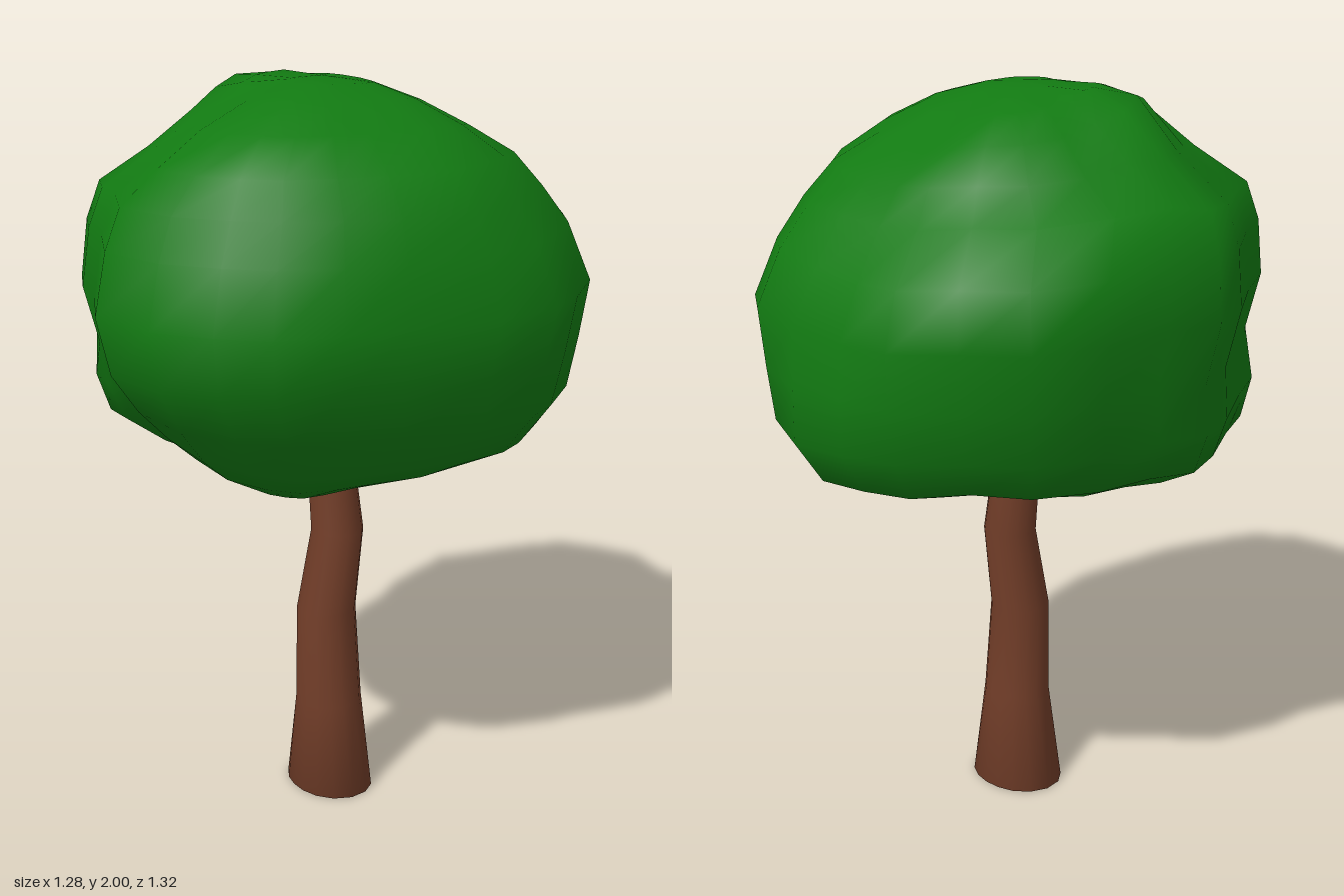
import * as THREE from 'three';

// Closed surface through rings of points; capped at both ends with a fan
function loft(rings, bottom, top) {
  const n = rings[0].length;
  const points = [...rings.flat(), bottom, top];
  const low = points.length - 2, high = points.length - 1;
  const last = (rings.length - 1) * n;
  const index = [];
  for (let j = 0; j < n; j++) {
    const k = (j + 1) % n;
    index.push(low, j, k, last + j, high, last + k);
    for (let i = 0; i < last; i += n) {
      index.push(i + j, i + n + j, i + k, i + k, i + n + j, i + n + k);
    }
  }
  const geometry = new THREE.BufferGeometry().setFromPoints(points);
  geometry.setIndex(index);
  geometry.computeVertexNormals();
  return geometry;
}

// Crown outline seen from above: x, z
const PLAN = [
  [-0.12, -0.66], [0.05, -0.66], [0.22, -0.66], [0.35, -0.57], [0.48, -0.47], [0.6, -0.32],
  [0.64, -0.2], [0.645, 0], [0.62, 0.12], [0.52, 0.29], [0.34, 0.44], [0.22, 0.55],
  [0.08, 0.64], [-0.06, 0.66], [-0.22, 0.66], [-0.4, 0.58], [-0.5, 0.39], [-0.58, 0.3],
  [-0.645, 0.18], [-0.61, 0], [-0.59, -0.2], [-0.54, -0.35], [-0.42, -0.42], [-0.29, -0.55],
];

// Crown levels: y, reach to -x, +x, -z, +z
const LEVELS = [
  [0.975, 0.2, 0.2, 0.25, 0.32],
  [1.02, 0.48, 0.37, 0.4, 0.4],
  [1.08, 0.58, 0.51, 0.54, 0.47],
  [1.19, 0.615, 0.59, 0.6, 0.55],
  [1.33, 0.605, 0.62, 0.645, 0.65],
  [1.48, 0.64, 0.645, 0.66, 0.665],
  [1.63, 0.625, 0.58, 0.66, 0.61],
  [1.73, 0.59, 0.52, 0.49, 0.56],
  [1.82, 0.45, 0.45, 0.44, 0.525],
  [1.9, 0.34, 0.34, 0.37, 0.41],
  [1.96, 0.22, 0.22, 0.26, 0.27],
  [1.99, 0.1, 0.1, 0.13, 0.14],
];

// Lumps and hollows of the crown: centre, push, radius
const LUMPS = [
  [[-0.3, 1.92, -0.09], [0, 0.085, 0], 0.16],
  [[-0.58, 1.1, 0.1], [-0.03, 0.01, 0], 0.15],
  [[0.4, 1.13, -0.4], [0.05, -0.01, -0.05], 0.22],
  [[0.32, 1.63, -0.55], [-0.015, -0.03, 0.045], 0.2],
  [[-0.4, 1.05, 0.4], [0.045, 0.04, -0.045], 0.22],
  [[0.25, 1.93, -0.25], [-0.02, -0.04, 0.02], 0.2],
  [[0.35, 1.76, 0.35], [0.04, 0, 0.04], 0.2],
  [[-0.36, 1.75, -0.36], [-0.03, 0.03, -0.03], 0.14],
  [[0, 1.02, -0.45], [0, 0.03, 0], 0.15],
].map(([centre, push, radius]) => [new THREE.Vector3(...centre), new THREE.Vector3(...push), radius]);

function crownGeometry() {
  const rings = LEVELS.map(([y, left, right, back, front]) =>
    PLAN.map(([x, z]) => {
      const p = new THREE.Vector3(
        x * (x < 0 ? left : right) / 0.645,
        y,
        z * (z < 0 ? back : front) / 0.66,
      );
      const start = p.clone();
      for (const [centre, push, radius] of LUMPS) {
        const d = start.distanceTo(centre) / radius;
        p.addScaledVector(push, Math.exp(-d * d));
      }
      p.y = Math.min(p.y, 1.995);
      return p;
    }));
  return loft(rings, new THREE.Vector3(0, 0.99, 0), new THREE.Vector3(-0.03, 2, 0));
}

// Trunk levels: y, min x, max x, min z, max z, diagonal flare
const TRUNK = [
  [0, -0.133, 0.122, -0.095, 0.132, 0.09],
  [0.28, -0.093, 0.09, -0.057, 0.13, 0],
  [0.55, -0.093, 0.07, -0.057, 0.11, 0],
  [0.78, -0.057, 0.087, -0.062, 0.08, 0],
  [1.0, -0.07, 0.057, -0.057, 0.07, 0],
  [1.08, -0.07, 0.04, -0.05, 0.06, 0],
];

function trunkGeometry() {
  const sides = 16;
  const rings = TRUNK.map(([y, x0, x1, z0, z1, flare]) =>
    Array.from({ length: sides }, (_, j) => {
      const a = (j / sides) * Math.PI * 2;
      const r = 0.5 * (1 + flare * Math.sin(2 * a));
      return new THREE.Vector3(
        (x0 + x1) / 2 + Math.cos(a) * r * (x1 - x0),
        y,
        (z0 + z1) / 2 + Math.sin(a) * r * (z1 - z0),
      );
    }));
  return loft(rings, new THREE.Vector3(-0.005, 0, 0.02), new THREE.Vector3(-0.015, 1.08, 0.005));
}

export function createModel() {
  const tree = new THREE.Group();
  tree.name = 'tree';

  const trunk = new THREE.Mesh(trunkGeometry(), new THREE.MeshStandardMaterial({ color: 0x713d28 }));
  trunk.name = 'trunk';

  const crown = new THREE.Mesh(crownGeometry(), new THREE.MeshStandardMaterial({ color: 0x127a12 }));
  crown.name = 'crown';

  tree.add(trunk, crown);
  return tree;
}
